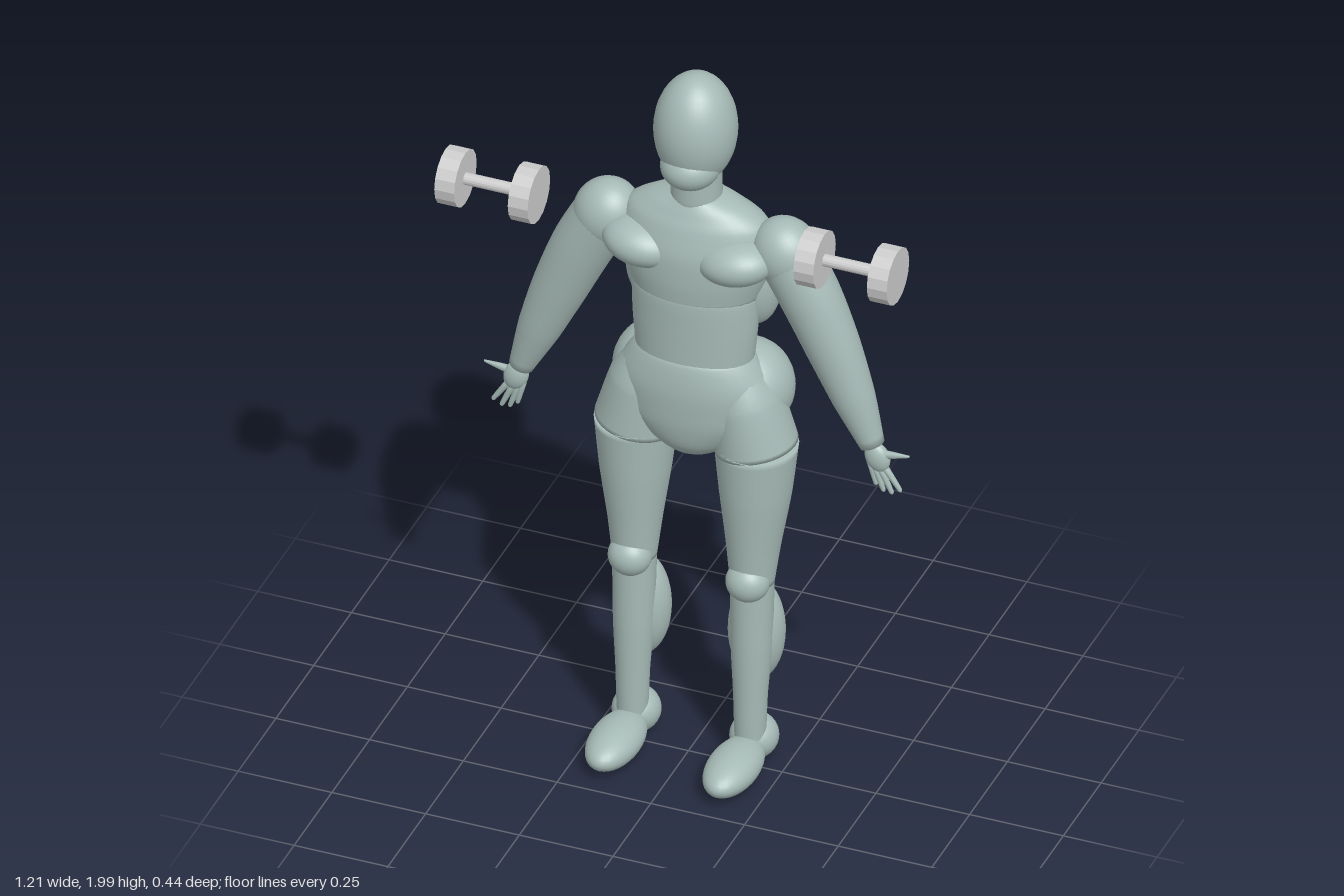
import * as THREE from 'three';

const bodyMat = new THREE.MeshStandardMaterial({ color: 0xa6bab6 });
bodyMat.name = 'body sage grey';
const ironMat = new THREE.MeshStandardMaterial({ color: 0xcccccc, flatShading: true });
ironMat.name = 'dumbbell grey';

export function createModel() {
  const model = new THREE.Group();
  model.name = 'figureWithDumbbells';

  const add = (parent, name, geo, mat = bodyMat) => {
    const m = new THREE.Mesh(geo, mat);
    m.name = name;
    parent.add(m);
    return m;
  };

  // Ellipsoid: centre, radii, optional tilt about z
  const blob = (parent, name, c, r, tilt = 0) => {
    const m = add(parent, name, new THREE.SphereGeometry(1, 32, 20));
    m.position.set(...c);
    m.scale.set(...r);
    m.rotation.z = tilt;
    return m;
  };

  // Smooth closed skin through elliptical sections [x, y, z, halfWidth, halfDepth]
  const loft = (parent, name, sections, steps = 24, sides = 32) => {
    const path = new THREE.CatmullRomCurve3(sections.map(s => new THREE.Vector3(s[0], s[1], s[2])));
    const radii = new THREE.CatmullRomCurve3(sections.map(s => new THREE.Vector3(s[3], s[4], 0)));
    const pos = [], idx = [];
    for (let i = 0; i <= steps; i++) {
      const p = path.getPoint(i / steps), r = radii.getPoint(i / steps), t = path.getTangent(i / steps);
      const len = Math.hypot(t.x, t.y), ux = -t.y / len, uy = t.x / len;
      for (let j = 0; j < sides; j++) {
        const a = j / sides * Math.PI * 2, w = Math.cos(a) * r.x;
        pos.push(p.x + ux * w, p.y + uy * w, p.z + Math.sin(a) * r.y);
        if (i < steps) {
          const k = (j + 1) % sides, a0 = i * sides + j, a1 = i * sides + k;
          idx.push(a0, a1, a0 + sides, a1, a1 + sides, a0 + sides);
        }
      }
    }
    // End caps
    const first = sections[0], last = sections[sections.length - 1];
    const c0 = pos.length / 3;
    pos.push(first[0], first[1], first[2], last[0], last[1], last[2]);
    for (let j = 0; j < sides; j++) {
      const k = (j + 1) % sides, e = steps * sides;
      idx.push(c0, k, j, c0 + 1, e + j, e + k);
    }
    const g = new THREE.BufferGeometry();
    g.setAttribute('position', new THREE.Float32BufferAttribute(pos, 3));
    g.setIndex(idx);
    g.computeVertexNormals();
    return add(parent, name, g);
  };

  // Head and neck
  blob(model, 'head', [0, 1.845, -0.048], [0.105, 0.155, 0.11]);
  blob(model, 'jaw', [0, 1.755, -0.015], [0.076, 0.062, 0.08]);
  loft(model, 'neck', [[0, 1.78, -0.05, 0.063, 0.063], [0, 1.6, -0.055, 0.066, 0.066]], 4);

  // Torso
  loft(model, 'chest', [
    [0, 1.655, -0.055, 0.06, 0.06], [0, 1.63, -0.057, 0.125, 0.075], [0, 1.59, -0.06, 0.185, 0.098],
    [0, 1.51, -0.062, 0.205, 0.123], [0, 1.44, -0.06, 0.19, 0.123], [0, 1.37, -0.055, 0.165, 0.112],
  ]);
  loft(model, 'abdomen', [
    [0, 1.42, -0.052, 0.15, 0.1], [0, 1.37, -0.05, 0.166, 0.109],
    [0, 1.28, -0.046, 0.163, 0.104], [0, 1.16, -0.042, 0.152, 0.098],
  ]);
  loft(model, 'pelvis', [
    [0, 1.215, -0.043, 0.13, 0.088], [0, 1.19, -0.043, 0.158, 0.104], [0, 1.1, -0.045, 0.203, 0.116],
    [0, 1.02, -0.048, 0.195, 0.114], [0, 0.95, -0.05, 0.13, 0.1], [0, 0.91, -0.05, 0.075, 0.07],
    [0, 0.895, -0.05, 0.02, 0.025],
  ]);

  // Parts repeated on both sides
  for (const s of [1, -1]) {
    const side = new THREE.Group();
    side.name = s > 0 ? 'leftSide' : 'rightSide';
    model.add(side);
    const mirror = rows => rows.map(([x, ...rest]) => [x * s, ...rest]);
    const b = (name, c, r, tilt = 0) => blob(side, name, [c[0] * s, c[1], c[2]], r, tilt * s);

    b('breast', [0.125, 1.507, -0.002], [0.102, 0.061, 0.084], 0.12);
    b('backMuscle', [0.132, 1.415, -0.105], [0.072, 0.15, 0.08], 0.08);
    b('buttock', [0.118, 1.07, -0.102], [0.118, 0.125, 0.118]);

    // Arm
    b('shoulder', [0.238, 1.53, -0.053], [0.086, 0.094, 0.08], 0.4);
    loft(side, 'arm', mirror([
      [0.235, 1.54, -0.053, 0.08, 0.078], [0.3, 1.42, -0.054, 0.079, 0.075], [0.362, 1.28, -0.055, 0.071, 0.066],
      [0.418, 1.14, -0.055, 0.056, 0.053], [0.468, 1.01, -0.055, 0.032, 0.032],
    ]));

    // Hand with spread fingers
    b('palm', [0.482, 0.975, -0.055], [0.032, 0.042, 0.022], 0.35);
    const digits = [
      [0.462, 0.96, 0.478, 0.895], [0.474, 0.95, 0.498, 0.88],
      [0.487, 0.95, 0.52, 0.878], [0.498, 0.955, 0.542, 0.89],
    ];
    for (const [x0, y0, x1, y1] of digits) {
      loft(side, 'finger', mirror([
        [x0, y0, -0.055, 0.009, 0.01], [x1, y1, -0.055, 0.006, 0.006],
        [x1 + (x1 - x0) * 0.08, y1 - 0.006, -0.055, 0.001, 0.001],
      ]), 6, 10);
    }
    loft(side, 'thumb', mirror([
      [0.485, 0.985, -0.055, 0.012, 0.012], [0.525, 0.99, -0.055, 0.009, 0.008], [0.567, 0.996, -0.055, 0.003, 0.003],
    ]), 6, 10);

    // Leg
    loft(side, 'hip', mirror([
      [0.115, 1.15, -0.045, 0.06, 0.07], [0.135, 1.07, -0.05, 0.088, 0.098], [0.16, 0.935, -0.053, 0.106, 0.107],
    ]));
    loft(side, 'thigh', mirror([
      [0.16, 0.94, -0.053, 0.106, 0.107], [0.16, 0.8, -0.048, 0.091, 0.094],
      [0.158, 0.65, -0.04, 0.069, 0.073], [0.157, 0.54, -0.033, 0.056, 0.058],
    ]));
    b('knee', [0.157, 0.553, -0.002], [0.056, 0.054, 0.052]);
    loft(side, 'shin', mirror([
      [0.157, 0.56, -0.033, 0.056, 0.058], [0.157, 0.35, -0.028, 0.052, 0.053],
      [0.157, 0.2, -0.021, 0.043, 0.043], [0.157, 0.06, -0.019, 0.039, 0.039],
    ]));
    b('calf', [0.152, 0.365, -0.075], [0.073, 0.145, 0.067]);
    b('heel', [0.157, 0.066, -0.046], [0.062, 0.06, 0.063]);
    b('forefoot', [0.157, 0.056, 0.09], [0.066, 0.05, 0.128]);

    // Dumbbell floating beside the head
    const dumbbell = new THREE.Group();
    dumbbell.name = 'dumbbell';
    dumbbell.position.set(0.479 * s, 1.651, 0.111);
    side.add(dumbbell);
    const rod = (name, x, r, len) => {
      const m = add(dumbbell, name, new THREE.CylinderGeometry(r, r, len, 16), ironMat);
      m.rotation.z = Math.PI / 2;
      m.position.x = x;
    };
    rod('grip', 0, 0.016, 0.16);
    for (const e of [1, -1]) rod('weight', e * 0.098, 0.075, 0.053);
  }
  return model;
}
